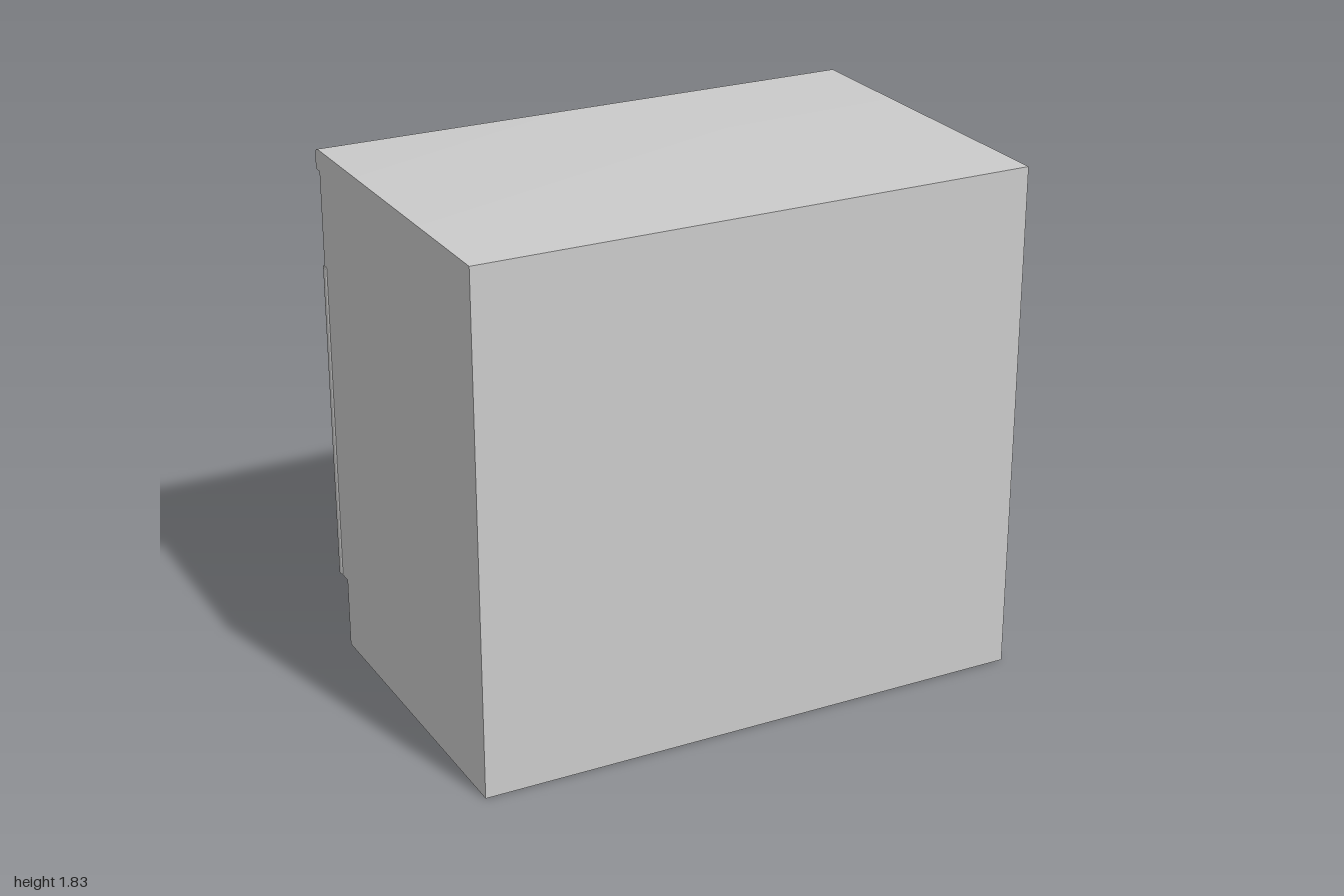
import * as THREE from 'three';
import { toCreasedNormals } from 'three/addons/utils/BufferGeometryUtils.js';

const HALF = 0.996; // half width of the carcass

export function createModel() {
  const model = new THREE.Group();
  const grey = new THREE.MeshStandardMaterial({ color: 0xcccccc });
  const black = new THREE.MeshStandardMaterial({ color: 0x0a0a0a });

  const add = (name, geometry, material = grey, x = 0, y = 0, z = 0) => {
    const mesh = new THREE.Mesh(geometry, material);
    mesh.name = name;
    mesh.position.set(x, y, z);
    model.add(mesh);
    return mesh;
  };

  // Sweeps a (z, y) profile across the full width
  const sweep = (shape) => {
    const g = new THREE.ExtrudeGeometry(shape, { depth: 2 * HALF, bevelEnabled: false, curveSegments: 6 });
    g.rotateY(-Math.PI / 2).translate(HALF, 0, 0);
    return toCreasedNormals(g, 0.6);
  };

  // Carcass with toe kick, door recess and drawer front; doors are on -z
  const carcass = new THREE.Shape([
    [0.637, 0], [0.637, 1.755], [-0.6, 1.755], [-0.6, 1.415],
    [-0.585, 1.415], [-0.585, 0.256], [-0.538, 0.256], [-0.538, 0],
  ].map(([z, y]) => new THREE.Vector2(z, y)));
  add('carcass', sweep(carcass));

  // Worktop with a rounded nose
  const top = new THREE.Shape();
  top.moveTo(0.637, 1.755);
  top.lineTo(0.637, 1.83);
  top.lineTo(-0.605, 1.83);
  top.quadraticCurveTo(-0.632, 1.83, -0.632, 1.803);
  top.lineTo(-0.632, 1.77);
  top.quadraticCurveTo(-0.632, 1.755, -0.617, 1.755);
  add('worktop', sweep(top));

  // Door frame: bevelled rectangle with a bevelled opening
  const rect = (target, x0, y0, x1, y1) => {
    target.moveTo(x0, y0);
    target.lineTo(x1, y0);
    target.lineTo(x1, y1);
    target.lineTo(x0, y1);
    target.closePath();
    return target;
  };
  const bevel = 0.008;
  const frame = rect(new THREE.Shape(), 0.004 + bevel, 0.258 + bevel, 1 - bevel, 1.42 - bevel);
  frame.holes.push(rect(new THREE.Path(), 0.102 - bevel, 0.365 - bevel, 0.902 + bevel, 1.328 + bevel));
  const frameGeometry = new THREE.ExtrudeGeometry(frame, {
    depth: 0.016, bevelThickness: bevel, bevelSize: bevel, bevelSegments: 3,
  });
  frameGeometry.rotateY(Math.PI);

  for (const side of [1, -1]) {
    const name = side > 0 ? 'left' : 'right';
    // The frame spans x from -1 to 0 after turning, so the left one is shifted over
    add(name + 'DoorFrame', toCreasedNormals(frameGeometry, 0.6), grey, side > 0 ? 1.004 : -0.0, 0, -0.587);
    add(name + 'DoorPanel', new THREE.BoxGeometry(0.84, 1.0, 0.012), black, side * 0.502, 0.8465, -0.592);

    // Oval knob on a short stem
    const knob = add(name + 'Knob', new THREE.SphereGeometry(1, 24, 12), grey, side * 0.062, 1.335, -0.618);
    knob.scale.set(0.022, 0.046, 0.008);
    const stem = new THREE.CylinderGeometry(0.01, 0.01, 0.016, 16).rotateX(Math.PI / 2);
    add(name + 'KnobStem', stem, grey, side * 0.062, 1.335, -0.612);
  }

  // Bow handle curving out from the drawer front
  const bow = new THREE.CatmullRomCurve3([
    [-0.088, -0.598], [-0.08, -0.612], [-0.045, -0.624], [0, -0.628],
    [0.045, -0.624], [0.08, -0.612], [0.088, -0.598],
  ].map(([x, z]) => new THREE.Vector3(x, 1.592, z)));
  add('drawerHandle', new THREE.TubeGeometry(bow, 32, 0.009, 10, false));

  return model;
}
